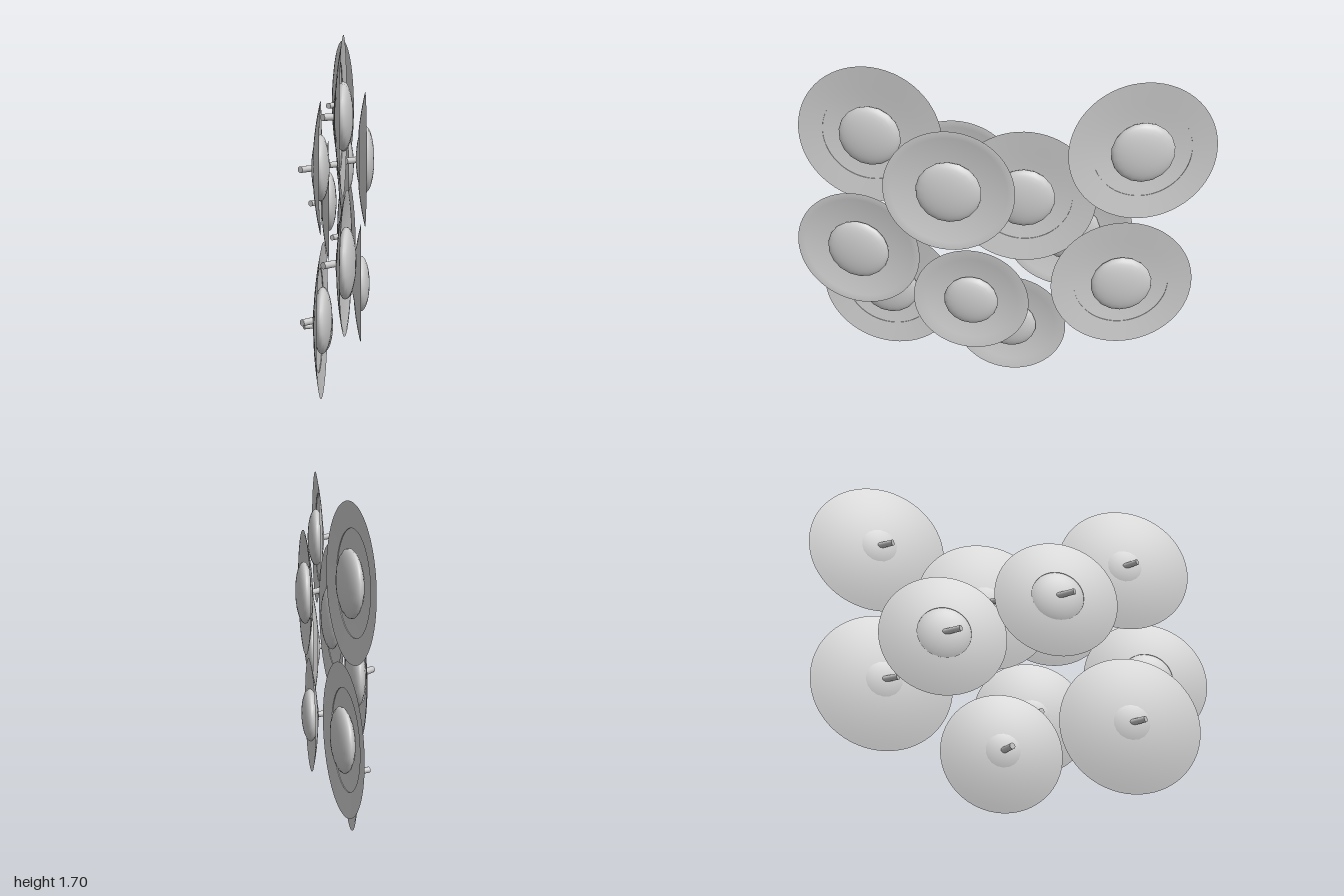
import * as THREE from 'three';
import { toCreasedNormals } from 'three/addons/utils/BufferGeometryUtils.js';

const material = new THREE.MeshStandardMaterial({ color: 0xcccccc, side: THREE.DoubleSide });
const V = (r, a) => new THREE.Vector2(r, a);

// Three kinds of dish: rim radius, boss radius, hole in the back, stepped face, peg direction
const KINDS = {
  large: { R: 0.342, boss: 0.148, hole: 0, step: true, peg: [-0.7, 0, 0.7] },
  open: { R: 0.31, boss: 0.155, hole: 0.13, step: false, peg: [-0.65, 0, 0.75] },
  small: { R: 0.284, boss: 0.133, hole: 0, step: false, peg: [-0.9, 0, 0.4] },
};
const DEPTH = 0.036; // how far the bowl bulges behind its rim

// Thin shallow bowl turned about +x
function dishGeometry({ R, hole, step }) {
  const bowl = (r) => -DEPTH * (1 - (r / R) ** 2);
  const pts = [];
  const n = 10;
  for (let i = 0; i <= n; i++) {
    const r = hole + ((R - hole) * i) / n;
    pts.push(V(r, bowl(r)));
  }
  if (step) {
    // raised outer band with a small step down to the inner face
    const s = R * 0.67;
    pts.push(V(s, bowl(s) + 0.007), V(s, bowl(s) + 0.004));
    for (let i = 3; i >= 0; i--) pts.push(V((s * i) / 4, bowl((s * i) / 4) + 0.004));
  } else {
    for (let i = n - 1; i >= 0; i--) {
      const r = hole + ((R - hole) * i) / n;
      pts.push(V(r, bowl(r) + 0.004));
    }
    if (hole) pts.push(V(hole, bowl(hole)));
  }
  const g = new THREE.LatheGeometry(pts, 64);
  g.rotateZ(-Math.PI / 2);
  return toCreasedNormals(g, 0.6);
}

// Flattened round boss in the middle of the dish
function bossGeometry({ boss }) {
  const g = new THREE.SphereGeometry(boss, 18, 16);
  g.scale(1, 0.042 / boss, 1);
  g.rotateZ(-Math.PI / 2);
  return g;
}

// Slanted mounting peg behind the dish
function pegGeometry({ peg, hole }) {
  const dir = new THREE.Vector3(...peg).normalize();
  const length = hole ? 0.1 : 0.085;
  const g = new THREE.CylinderGeometry(0.015, 0.015, length, 16);
  g.translate(0, length / 2 - 0.01, 0);
  g.applyQuaternion(new THREE.Quaternion().setFromUnitVectors(new THREE.Vector3(0, 1, 0), dir));
  g.translate(-DEPTH + 0.004, 0, 0);
  return g;
}

// Kind, rim centre x, y, z, and turn about the vertical in degrees
const DISHES = [
  ['large', 0.036, 1.362, 0.6, -1.5],
  ['large', 0.03, 1.082, -0.12, 4],
  ['large', 0.005, 1.34, -0.66, 11],
  ['large', 0.028, 0.64, -0.6, 9],
  ['large', -0.055, 0.47, 0.57, -2],
  ['open', 0.128, 1.14, 0.22, 1.5],
  ['open', 0.05, 0.75, 0.69, -4],
  ['open', -0.06, 0.865, -0.33, 2.5],
  ['open', -0.077, 1.1, 0.22, 1],
  ['small', 0.11, 0.537, 0.125, 0.5],
  ['small', -0.07, 0.287, -0.048, 0.5],
];

export function createModel() {
  const model = new THREE.Group();
  model.name = 'dishCluster';

  const parts = {};
  for (const [kind, spec] of Object.entries(KINDS)) {
    parts[kind] = { dish: dishGeometry(spec), boss: bossGeometry(spec), peg: pegGeometry(spec) };
  }

  for (const [kind, x, y, z, turn] of DISHES) {
    const unit = new THREE.Group();
    unit.name = kind + 'Dish';
    for (const [name, geometry] of Object.entries(parts[kind])) {
      const mesh = new THREE.Mesh(geometry, material);
      mesh.name = name;
      unit.add(mesh);
    }
    unit.position.set(x, y, z);
    unit.rotation.y = THREE.MathUtils.degToRad(turn);
    model.add(unit);
  }
  return model;
}
